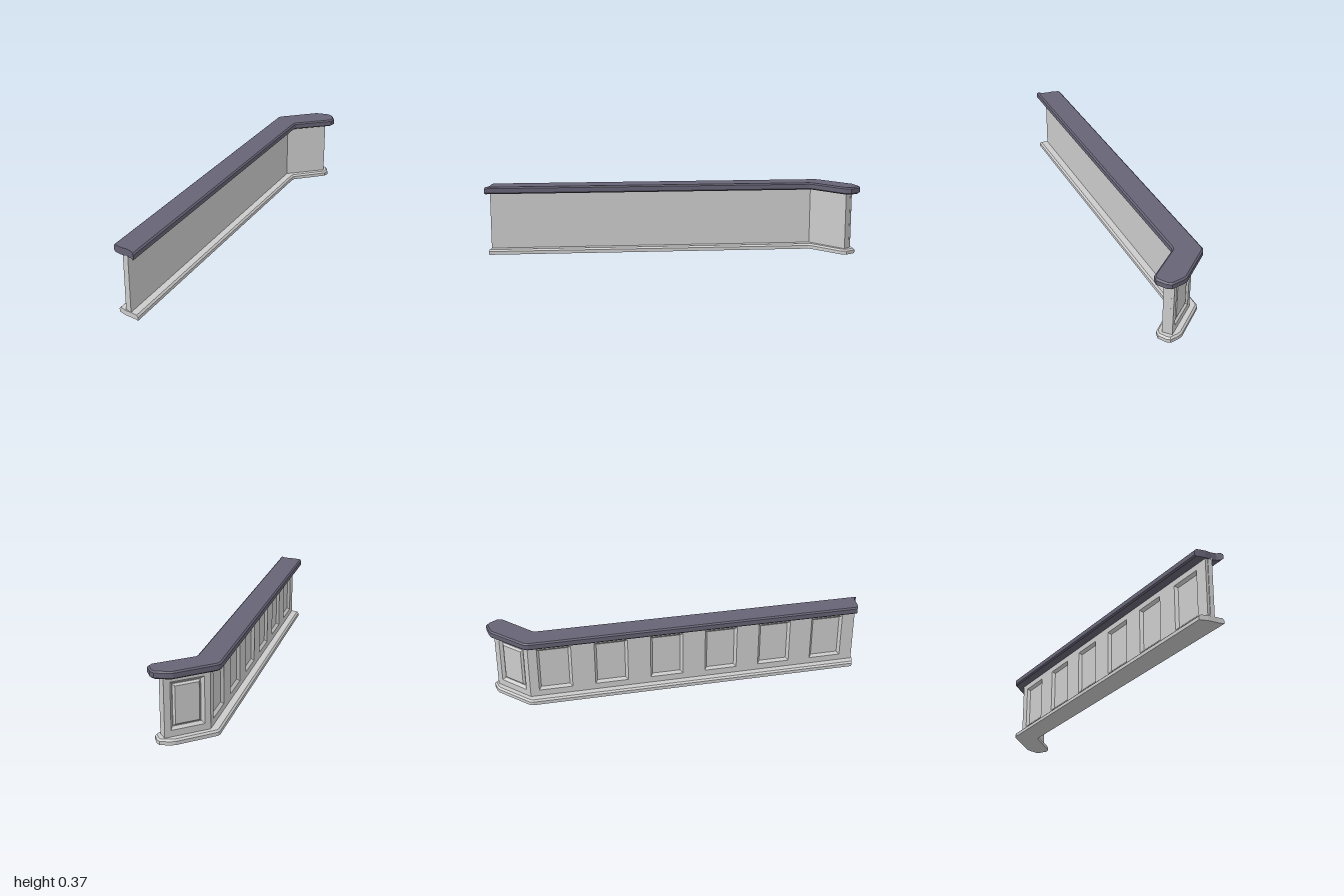
import * as THREE from 'three';

const grey = new THREE.MeshStandardMaterial({ color: 0xcccccc, flatShading: true });
const dark = new THREE.MeshStandardMaterial({ color: 0x666375, flatShading: true });

// Skin between loops of [x, y] points stacked at heights z, with optional end caps
function loft(layers, capStart, capEnd) {
  const pos = [];
  const put = (layer, i) => pos.push(layer.loop[i][0], layer.loop[i][1], layer.z);
  for (let k = 0; k + 1 < layers.length; k++) {
    const a = layers[k], b = layers[k + 1], n = a.loop.length;
    for (let i = 0; i < n; i++) {
      const j = (i + 1) % n;
      put(a, i); put(a, j); put(b, j);
      put(a, i); put(b, j); put(b, i);
    }
  }
  const cap = (layer, flip) => {
    const pts = layer.loop.map(([x, y]) => new THREE.Vector2(x, y));
    for (const [a, b, c] of THREE.ShapeUtils.triangulateShape(pts, [])) {
      (flip ? [a, c, b] : [a, b, c]).forEach(i => put(layer, i));
    }
  };
  if (capStart) cap(layers[0], true);
  if (capEnd) cap(layers[layers.length - 1], false);
  const g = new THREE.BufferGeometry();
  g.setAttribute('position', new THREE.Float32BufferAttribute(pos, 3));
  g.computeVertexNormals();
  return g;
}

// Move every edge of a counterclockwise loop inward, except the cut front end
function inset(loop, dist) {
  const n = loop.length;
  const edges = loop.map((p, i) => {
    const q = loop[(i + 1) % n];
    const dx = q[0] - p[0], dy = q[1] - p[1], len = Math.hypot(dx, dy);
    return { x: -dy / len, y: dx / len, d: p[1] < -0.93 && q[1] < -0.93 ? 0 : dist };
  });
  return loop.map((p, i) => {
    const a = edges[(i + n - 1) % n], b = edges[i];
    const det = a.x * b.y - a.y * b.x;
    if (Math.abs(det) < 1e-3) return [p[0] + a.x * a.d, p[1] + a.y * a.d];
    return [p[0] + (a.d * b.y - b.d * a.y) / det, p[1] + (a.x * b.d - b.x * a.d) / det];
  });
}

// Horizontal slab from a plan outline of [x, z] points and [height, inset] levels
function slab(name, outline, levels, material) {
  const loop = outline.map(([x, z]) => [x, -z]).reverse();
  const layers = levels.map(([z, d]) => ({ z, loop: d ? inset(loop, d) : loop }));
  const mesh = new THREE.Mesh(loft(layers, true, true).rotateX(-Math.PI / 2), material);
  mesh.name = name;
  return mesh;
}

const rect = (x0, x1, y0, y1, d = 0) =>
  [[x0 + d, y0 + d], [x1 - d, y0 + d], [x1 - d, y1 - d], [x0 + d, y1 - d]];

const DEPTH = 0.014;          // depth of the panel recesses
const PANEL_Y = [0.06, 0.3];  // bottom and top of the panels

// Panelled facing running from plan point a to b, looking outward
function facing(name, a, b, panels, raised) {
  const group = new THREE.Group();
  group.name = name;
  const add = (part, geometry) => {
    const mesh = new THREE.Mesh(geometry, grey);
    mesh.name = part;
    group.add(mesh);
  };
  const length = Math.hypot(b[0] - a[0], b[1] - a[1]);
  const toPath = pts => pts.map(p => new THREE.Vector2(...p));
  const shape = new THREE.Shape(toPath(rect(0, length, 0.02, 0.335)));
  for (const [x0, x1] of panels) {
    shape.holes.push(new THREE.Path(toPath(rect(x0, x1, ...PANEL_Y))));
    const r = d => rect(x0, x1, ...PANEL_Y, d);
    // Splayed border sinking into the wall
    add('panelMoulding', loft([{ z: 0, loop: r(0) }, { z: -DEPTH, loop: r(0.013) }]));
    if (raised) {
      add('raisedField', loft([
        { z: -DEPTH, loop: r(0.016) }, { z: -0.004, loop: r(0.025) },
      ], false, true));
    }
  }
  add('panelFrame', new THREE.ExtrudeGeometry(shape, { depth: DEPTH, bevelEnabled: false })
    .translate(0, 0, -DEPTH));
  group.position.set(a[0], 0, a[1]);
  group.rotation.y = Math.atan2(a[1] - b[1], b[0] - a[0]);
  return group;
}

export function createModel() {
  const model = new THREE.Group();
  model.name = 'barCounter';

  // Countertop with chamfered rim, angled return and unevenly cut front end
  model.add(slab('countertop', [
    [-0.157, 0.955], [-0.157, -0.812], [-0.148, -0.832], [0.02, -0.983], [0.048, -0.991],
    [0.104, -1], [0.127, -0.986], [0.157, -0.94], [0.15, -0.908], [-0.016, -0.768],
    [-0.022, -0.75], [-0.022, 1], [-0.048, 0.98], [-0.074, 0.972], [-0.106, 0.972], [-0.14, 0.963],
  ], [[0.33, 0.008], [0.337, 0], [0.361, 0], [0.368, 0.008]], dark));

  // Plinth with a chamfered top edge
  model.add(slab('plinth', [
    [-0.147, 0.955], [-0.147, -0.806], [-0.14, -0.823], [0.02, -0.967], [0.045, -0.977],
    [0.09, -0.985], [0.108, -0.972], [0.131, -0.932], [0.125, -0.903], [-0.019, -0.77],
    [-0.025, -0.754], [-0.025, 0.985], [-0.05, 0.978], [-0.106, 0.97],
  ], [[0, 0], [0.018, 0], [0.027, 0.009]], grey));

  // Wall core, plain on the inner side
  model.add(slab('wall', [
    [-0.089, 0.968], [-0.089, -0.8056], [0.081, -0.954], [0.107, -0.925],
    [-0.07, -0.77], [-0.07, 0.974],
  ], [[0.02, 0], [0.335, 0]], grey));

  // Outer facings: six sunk panels along the front, one raised panel on the return
  const corner = [-0.103, -0.812], tip = [0.072, -0.965];
  const panels = Array.from({ length: 6 }, (_, i) => [0.046 + 0.297 * i, 0.222 + 0.297 * i]);
  model.add(facing('longFacing', corner, [-0.103, 0.965], panels, false));
  model.add(facing('returnFacing', tip, corner, [[0.032, 0.203]], true));

  return model;
}
